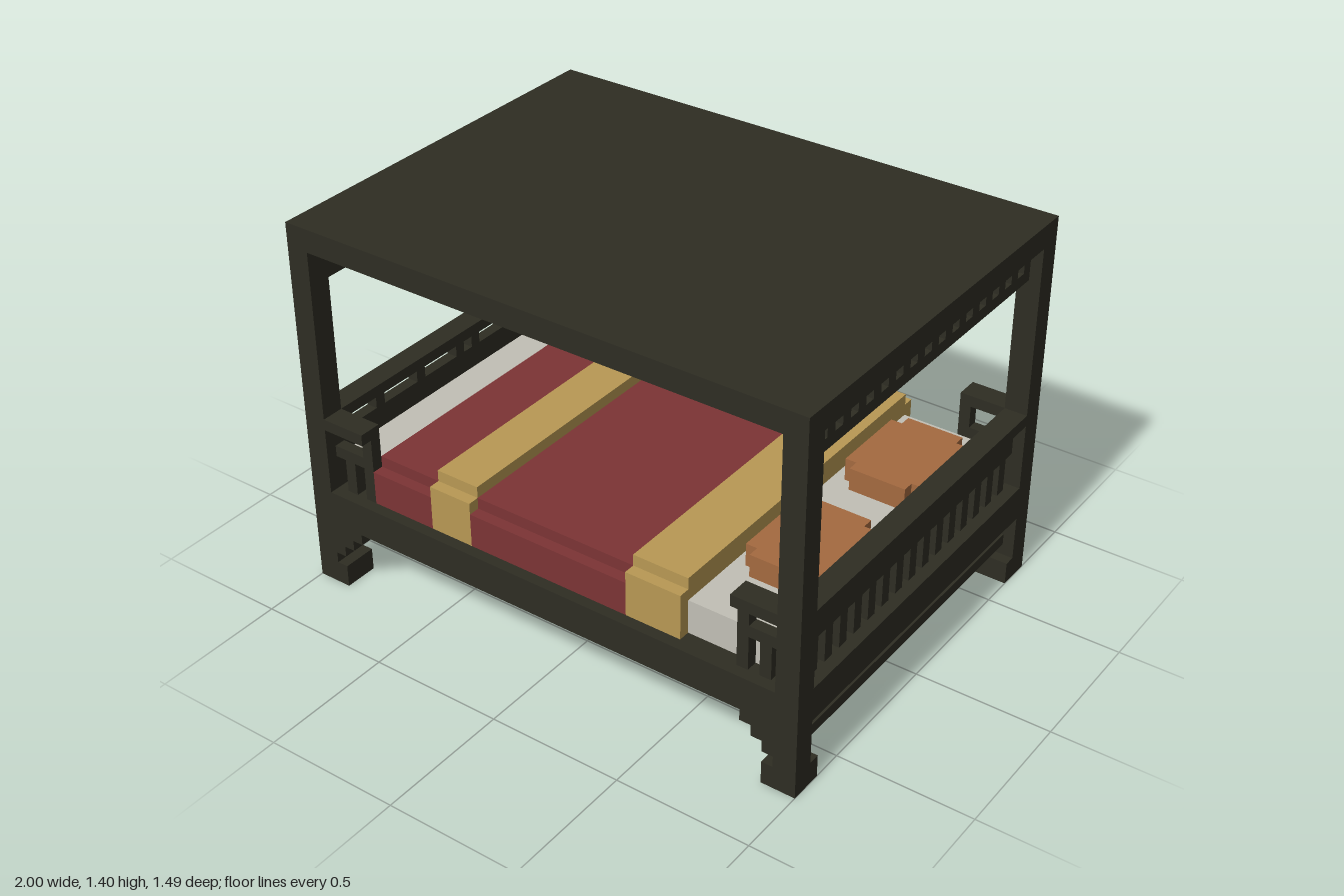
import * as THREE from 'three';

const U = 2 / 47; // one block

const makeMaterial = (name, color) => {
  const m = new THREE.MeshStandardMaterial({ color });
  m.name = name;
  return m;
};

export function createModel() {
  const bed = new THREE.Group();
  bed.name = 'canopyBed';
  const wood = makeMaterial('darkWood', 0x2e2d23);
  const linen = makeMaterial('linen', 0xc2c0b6);
  const red = makeMaterial('redBlanket', 0x7c3435);
  const gold = makeMaterial('goldStripe', 0xb99954);
  const brown = makeMaterial('brownPillow', 0xa56a40);

  // Box from block-unit limits
  const box = (parent, name, mat, x0, x1, y0, y1, z0, z1) => {
    const mesh = new THREE.Mesh(new THREE.BoxGeometry((x1 - x0) * U, (y1 - y0) * U, (z1 - z0) * U), mat);
    mesh.position.set((x0 + x1) / 2 * U, (y0 + y1) / 2 * U, (z0 + z1) / 2 * U);
    mesh.name = name;
    parent.add(mesh);
  };
  // Box repeated on mirrored sides; sx and sz list the signs to build
  const mirrored = (parent, name, sx, sz, x0, x1, y0, y1, z0, z1) => {
    for (const a of sx) for (const b of sz) {
      const xs = [a * x0, a * x1].sort((p, q) => p - q);
      const zs = [b * z0, b * z1].sort((p, q) => p - q);
      box(parent, name, wood, xs[0], xs[1], y0, y1, zs[0], zs[1]);
    }
  };
  const both = [1, -1], one = [1];
  const group = (name) => {
    const g = new THREE.Group();
    g.name = name;
    bed.add(g);
    return g;
  };

  // Roof and bed base
  box(bed, 'canopyRoof', wood, -23.5, 23.5, 31, 33, -17.5, 17.5);
  box(bed, 'bedBase', wood, -23.5, 23.5, 6, 9, -17.5, 17.5);

  // Posts, feet and stepped brackets
  const legs = group('posts');
  mirrored(legs, 'upperPost', both, both, 21.5, 23.5, 9, 31, 15.5, 17.5);
  mirrored(legs, 'lowerPost', both, both, 21.5, 23.5, 2, 6, 15.5, 17.5);
  mirrored(legs, 'foot', both, both, 20.5, 23.5, 0, 2, 14.5, 17.5);
  for (let i = 0; i < 3; i++) {
    mirrored(legs, 'bracketStep', both, both, 20.5 - i, 21.5, 3 + i, 4 + i, 15.5, 17.5);
  }
  mirrored(legs, 'sideStretcher', both, one, 21.5, 22.5, 3, 4, -15.5, 15.5);

  // Side railings
  const rails = group('sideRailings');
  mirrored(rails, 'middleRail', both, one, 21.5, 22.5, 12, 14, -15.5, 15.5);
  mirrored(rails, 'handRail', both, one, 21.5, 23.5, 15, 16, -15.5, 15.5);
  for (let z = -14; z <= 14; z += 2) {
    mirrored(rails, 'spindle', both, one, 21.5, 22.5, 9, 12, z - 0.5, z + 0.5);
  }
  for (const z of [1, 6, 11]) {
    mirrored(rails, 'railStud', both, both, 21.5, 22.5, 14, 15, z - 0.5, z + 0.5);
  }

  // Short arms returning along front and back
  const arms = group('cornerArms');
  mirrored(arms, 'armTop', both, both, 17.5, 21.5, 15, 16, 15.5, 17.5);
  mirrored(arms, 'armRail', both, both, 18.5, 21.5, 12, 13, 15.5, 16.5);
  mirrored(arms, 'armPost', both, both, 17.5, 18.5, 9, 15, 15.5, 16.5);
  mirrored(arms, 'armSpindle', both, both, 19.5, 20.5, 9, 12, 15.5, 16.5);

  // Fretwork under the roof
  const fret = group('canopyFretwork');
  mirrored(fret, 'fretRail', both, one, 21.5, 22.5, 28, 29, -15.5, 15.5);
  for (let z = -15; z <= 15; z += 2) {
    mirrored(fret, 'fretBar', both, one, 21.5, 22.5, 29, 31, z - 0.5, z + 0.5);
  }

  // Mattress
  box(bed, 'mattress', linen, -21.5, 20.5, 9, 12, -15.5, 15.5);

  // Blanket panels and raised stripes, each with a draped edge
  const bedding = group('blanket');
  for (const [x0, x1, top, mat, name] of [
    [-17.5, -11.5, 12, red, 'redPanel'], [-11.5, -7.5, 13, gold, 'goldBand'],
    [-7.5, 7.5, 12, red, 'redPanel'], [7.5, 12.5, 13, gold, 'goldBand'],
  ]) {
    box(bedding, name, mat, x0, x1, 12, top + 1, -15.5, 15.5);
    box(bedding, name + 'Drape', mat, x0, x1, 9, top, 15.5, 16.5);
    box(bedding, name + 'Drape', mat, x0, x1, 9, top, -16.5, -15.5);
  }

  // Pillows with notched corners
  const outline = [[-3.5, -3.5], [-2.5, -3.5], [-2.5, -4.5], [2.5, -4.5], [2.5, -3.5], [3.5, -3.5],
    [3.5, 3.5], [2.5, 3.5], [2.5, 4.5], [-2.5, 4.5], [-2.5, 3.5], [-3.5, 3.5]];
  const shape = new THREE.Shape(outline.map(([x, y]) => new THREE.Vector2(x * U, y * U)));
  const pillowGeometry = new THREE.ExtrudeGeometry(shape, { depth: 2 * U, bevelEnabled: false });
  pillowGeometry.rotateX(-Math.PI / 2);
  for (const z of [-8, 6]) {
    const pillow = new THREE.Mesh(pillowGeometry, brown);
    pillow.position.set(17 * U, 12 * U, z * U);
    pillow.name = 'pillow';
    bed.add(pillow);
  }
  return bed;
}
